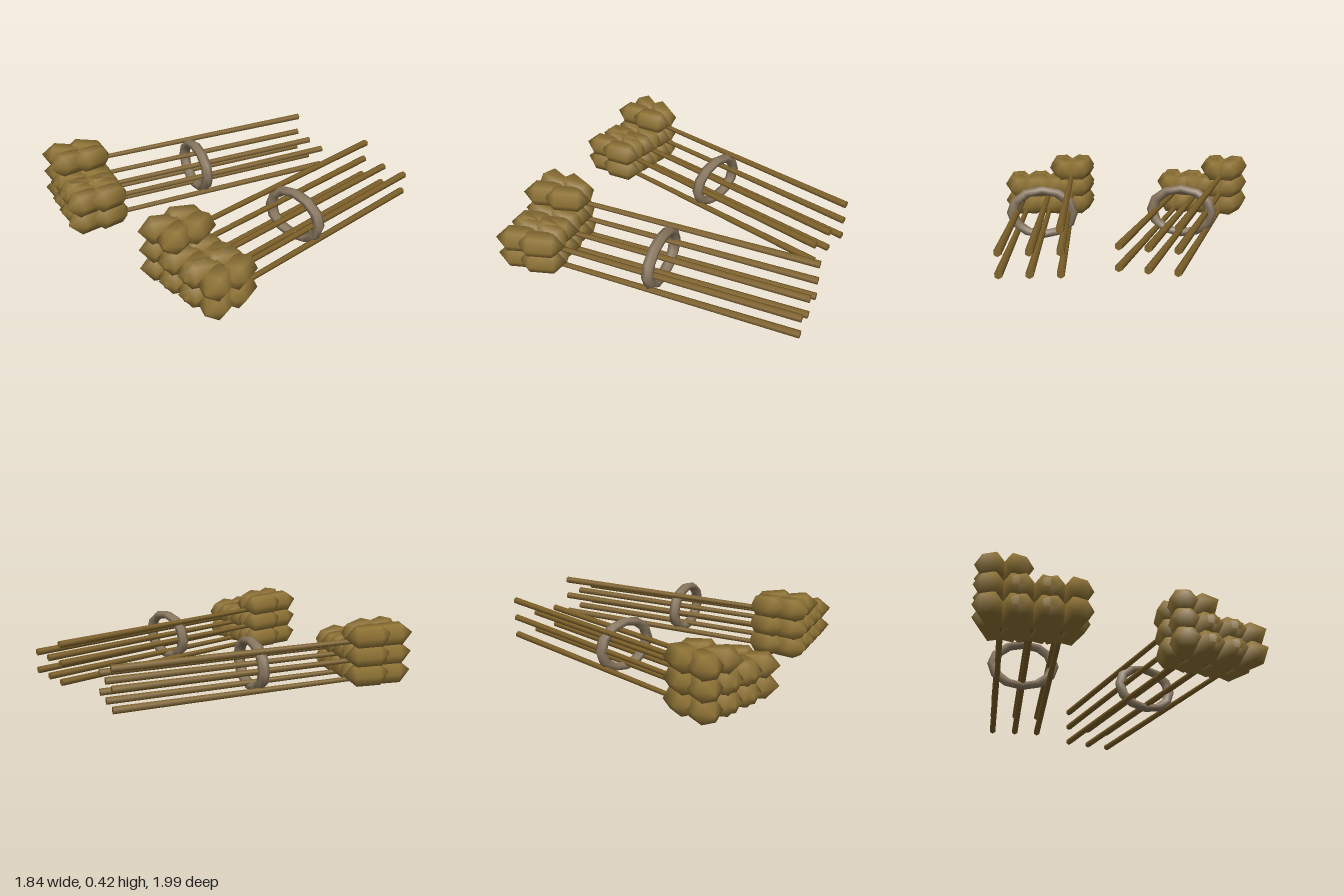
import * as THREE from 'three';

export function createModel() {
  const grainMat = new THREE.MeshStandardMaterial({ color: 0x8f7335 });
  grainMat.name = 'ripe grain';
  const stalkMat = new THREE.MeshStandardMaterial({ color: 0x7f622a });
  stalkMat.name = 'dry stalk';
  const bandMat = new THREE.MeshStandardMaterial({ color: 0x8a7860 });
  bandMat.name = 'twine';

  // shared low-poly shapes, long axis along z
  const grainGeo = new THREE.SphereGeometry(1, 6, 3).rotateX(Math.PI / 2).scale(0.1, 0.09, 0.151);
  const backZ = -0.99, frontZ = 0.75;
  const stalkGeo = new THREE.CylinderGeometry(0.016, 0.024, frontZ - backZ, 6)
    .rotateX(Math.PI / 2).translate(0, 0, (frontZ + backZ) / 2);
  const bandGeo = new THREE.TorusGeometry(0.198, 0.037, 6, 12).scale(1, 0.75, 1);

  // one ear: a stalk with two pairs of splayed kernels
  function makeEar() {
    const ear = new THREE.Group();
    ear.name = 'ear';
    const stalk = new THREE.Mesh(stalkGeo, stalkMat);
    stalk.name = 'stalk';
    ear.add(stalk);
    for (const z of [0.66, 0.806]) {
      for (const side of [-1, 1]) {
        const grain = new THREE.Mesh(grainGeo, grainMat);
        grain.name = 'grain';
        grain.position.set(side * 0.0575, 0.04, z);
        grain.rotation.set(-0.1, side * 0.39, 0, 'YXZ');
        ear.add(grain);
      }
    }
    return ear;
  }

  // one sheaf: seven ears stacked in rows of three, held by a band
  function makeSheaf(name) {
    const sheaf = new THREE.Group();
    sheaf.name = name;
    for (let i = 0; i < 7; i++) {
      const ear = makeEar();
      ear.position.set((i % 3 - 1) * 0.168, 0.055 + Math.floor(i / 3) * 0.125, 0);
      sheaf.add(ear);
    }
    const band = new THREE.Mesh(bandGeo, bandMat);
    band.name = 'band';
    band.position.set(0, 0.18, -0.055);
    sheaf.add(band);
    return sheaf;
  }

  const model = new THREE.Group();
  model.name = 'sheaves';
  const left = makeSheaf('leftSheaf');
  left.position.x = 0.578;
  const right = makeSheaf('rightSheaf');
  right.position.set(-0.358, 0, 0.006);
  right.rotation.y = -0.3;
  model.add(left, right);
  return model;
}
